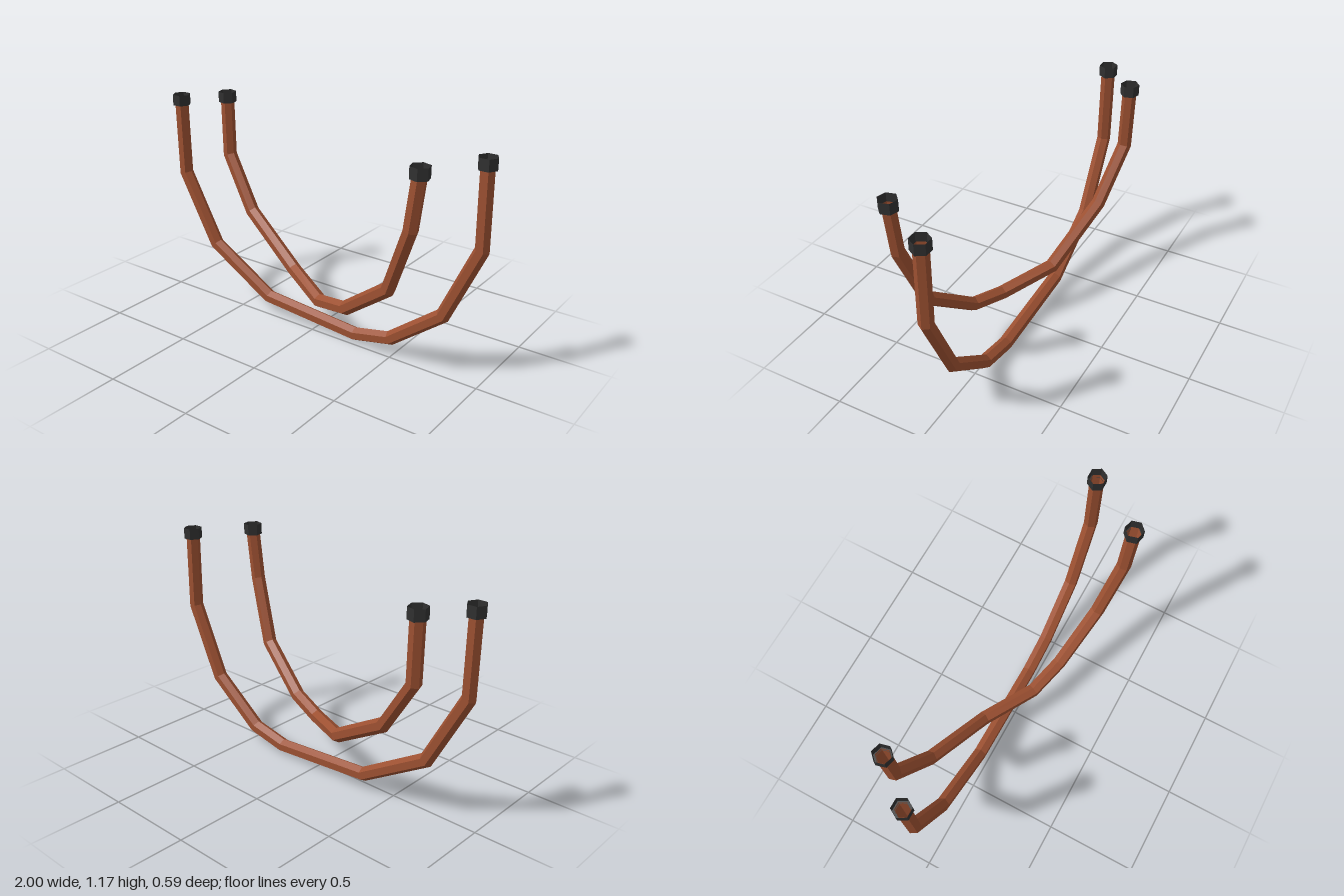
import * as THREE from 'three';

const V = (x, y, z) => new THREE.Vector3(x, y, z);
const SIDES = 6, TUBE_R = 0.038, CAP_R = 0.05, CAP_TOP = 1.18, CAP_H = 0.06;

// faceted look: every face gets its own normal
function faceted(geo) {
  const g = geo.index ? geo.toNonIndexed() : geo;
  g.computeVertexNormals();
  return g;
}

// hexagonal tube along a polyline, mitred at every bend
function mitredTube(points, yaw) {
  const side = V(-Math.sin(yaw), 0, Math.cos(yaw));
  const last = points.length - 1;
  const rings = points.map((p, i) => {
    const tIn = points[Math.max(i, 1)].clone().sub(points[Math.max(i, 1) - 1]).normalize();
    const j = Math.min(i, last - 1);
    const tOut = points[j + 1].clone().sub(points[j]).normalize();
    const t = tIn.clone().add(tOut).normalize();
    // open ends are cut level
    if (i === 0) t.set(0, -1, 0);
    if (i === last) t.set(0, 1, 0);
    const stretch = 1 / Math.max(0.5, tIn.dot(tOut) > 0.9999 ? 1 : t.dot(tIn));
    const b = side.clone().addScaledVector(t, -side.dot(t)).normalize();
    const n = b.clone().cross(t);
    return Array.from({ length: SIDES }, (_, k) => {
      const a = (k / SIDES) * Math.PI * 2;
      return p.clone()
        .addScaledVector(n, Math.cos(a) * TUBE_R * stretch)
        .addScaledVector(b, Math.sin(a) * TUBE_R);
    });
  });
  const tris = [];
  for (let i = 0; i < last; i++) {
    for (let k = 0; k < SIDES; k++) {
      const m = (k + 1) % SIDES;
      const a = rings[i][k], b = rings[i][m], c = rings[i + 1][m], d = rings[i + 1][k];
      tris.push(a, b, c, a, c, d);
    }
  }
  return faceted(new THREE.BufferGeometry().setFromPoints(tris));
}

// open hexagonal sleeve with a floor ring around the tube
function endCap(p, yaw, material, name) {
  const cap = new THREE.Group();
  cap.name = name;
  const sleeve = new THREE.Mesh(
    faceted(new THREE.CylinderGeometry(CAP_R, CAP_R, CAP_H, SIDES, 1, true)), material);
  sleeve.name = 'capSleeve';
  const ringGeo = new THREE.RingGeometry(TUBE_R - 0.002, CAP_R, SIDES, 1, Math.PI / 2);
  const ring = new THREE.Mesh(ringGeo.rotateX(-Math.PI / 2), material);
  ring.name = 'capFloor';
  ring.position.y = -CAP_H / 2;
  cap.add(sleeve, ring);
  cap.position.set(p.x, CAP_TOP - CAP_H / 2, p.z);
  cap.rotation.y = Math.PI / 2 - yaw;
  return cap;
}

export function createModel() {
  const copper = new THREE.MeshStandardMaterial({ color: 0x9c5031, side: THREE.DoubleSide });
  copper.name = 'rusty brown';
  const dark = new THREE.MeshStandardMaterial({ color: 0x303030, side: THREE.DoubleSide });
  dark.name = 'charcoal';

  const cables = [
    { // long cable, hanging in one plane
      name: 'longCable', yaw: 0,
      path: [
        [-0.95, 1.14, -0.046], [-0.942, 0.72, -0.046], [-0.725, 0.322, -0.046],
        [-0.335, 0.09, -0.046], [0.255, 0.044, -0.046], [0.472, 0.09, -0.046],
        [0.77, 0.318, -0.046], [0.953, 0.72, -0.046], [0.948, 1.14, -0.046],
      ],
    },
    { // short cable, crossing over the long one
      name: 'shortCable', yaw: 0.27,
      path: [
        [-0.784, 1.14, -0.247], [-0.775, 0.81, -0.243], [-0.57, 0.515, -0.19],
        [-0.192, 0.285, -0.092], [0.097, 0.24, 0.063], [0.30, 0.285, 0.122],
        [0.595, 0.51, 0.195], [0.732, 0.865, 0.246], [0.767, 1.14, 0.247],
      ],
    },
  ];

  const model = new THREE.Group();
  model.name = 'hangingCables';
  for (const { name, yaw, path } of cables) {
    const points = path.map((p) => V(...p));
    const cable = new THREE.Group();
    cable.name = name;
    const tube = new THREE.Mesh(mitredTube(points, yaw), copper);
    tube.name = 'cableTube';
    cable.add(
      tube,
      endCap(points[0], yaw, dark, 'rightEndCap'),
      endCap(points[points.length - 1], yaw, dark, 'leftEndCap'),
    );
    model.add(cable);
  }
  return model;
}
